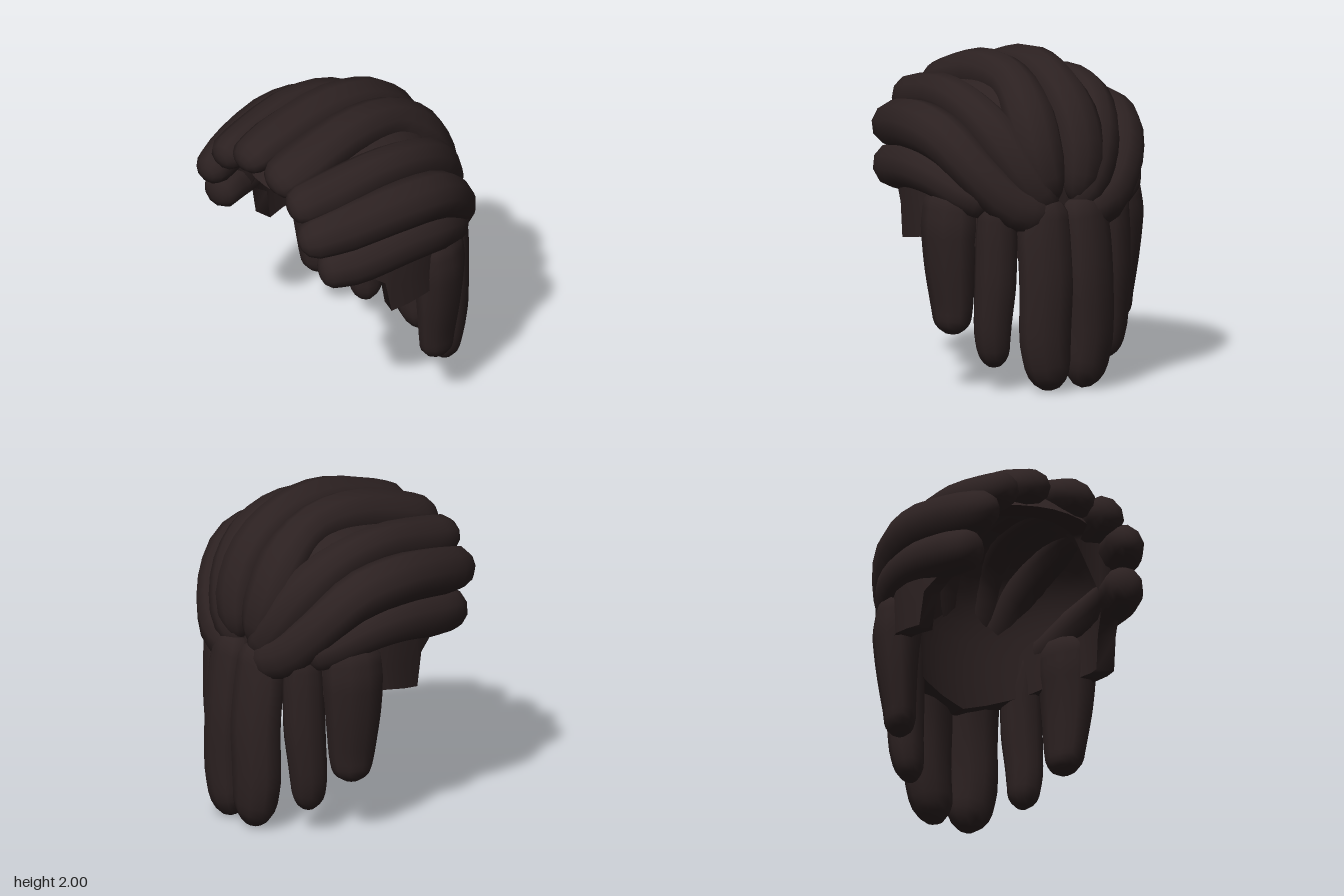
import * as THREE from 'three';
import { mergeVertices } from 'three/addons/utils/BufferGeometryUtils.js';

const hairMat = new THREE.MeshStandardMaterial({ color: 0x2c2121, side: THREE.DoubleSide });
hairMat.name = 'dark brown hair';

const SIDES = 10;

// Smooth skin over a row of closed rings of points
function loft(rings) {
  const n = rings[0].length, idx = [];
  for (let k = 1; k < rings.length; k++) {
    for (let j = 0; j < n; j++) {
      const m = (j + 1) % n, A = (k - 1) * n, B = k * n;
      idx.push(B + j, B + m, A + j, B + m, A + m, A + j);
    }
  }
  const g = new THREE.BufferGeometry().setFromPoints(rings.flat());
  g.setIndex(idx);
  const merged = mergeVertices(g, 1e-5);
  merged.computeVertexNormals();
  return merged;
}

// Thick lock: rows are [x, y, z, halfWidth, halfDepth]; the ends are rounded off over the given fractions
function lock(rows, side, startCap, endCap) {
  const curve = new THREE.CatmullRomCurve3(rows.map(r => new THREE.Vector3(r[0] * side, r[1], r[2])), false, 'centripetal');
  const ts = [0, startCap * 0.1, startCap * 0.4, startCap];
  for (let i = 1; i < 14; i++) ts.push(startCap + (1 - endCap - startCap) * i / 14);
  ts.push(1 - endCap, 1 - endCap * 0.65, 1 - endCap * 0.35, 1 - endCap * 0.1, 1);
  const round = d => Math.sqrt(Math.max(0, 1 - (1 - Math.min(1, d)) ** 2));
  return loft(ts.map(t => {
    const p = curve.getPoint(t), T = curve.getTangent(t);
    const out = new THREE.Vector3(p.x, Math.max(0, p.y - 1.2), p.z);
    out.addScaledVector(T, -out.dot(T)).normalize();
    const across = new THREE.Vector3().crossVectors(T, out);
    const u = t * (rows.length - 1), i = Math.min(rows.length - 2, Math.floor(u)), f = u - i;
    const s = round(t / startCap) * round((1 - t) / endCap);
    const w = s * THREE.MathUtils.lerp(rows[i][3], rows[i + 1][3], f);
    const h = s * THREE.MathUtils.lerp(rows[i][4], rows[i + 1][4], f);
    return Array.from({ length: SIDES }, (_, j) => {
      const a = j / SIDES * Math.PI * 2;
      return p.clone().addScaledVector(across, Math.cos(a) * w).addScaledVector(out, Math.sin(a) * h);
    });
  }));
}

// Scalp rim height by angle in degrees from the front: open face, sideburn, low nape
const rim = [[0, 1.61], [45, 1.6], [52, 1.25], [72, 1.08], [75, 0.87], [95, 0.91], [125, 0.91], [150, 0.83], [180, 0.73]];
const half = [0, 10, 20, 30, 38, 45, 52, 62, 72, 75, 84, 95, 110, 125, 138, 150, 165, 180];
const angles = [...half, ...half.slice(1, -1).reverse().map(a => 360 - a)];

function rimAt(deg) {
  const d = deg > 180 ? 360 - deg : deg;
  const i = Math.max(1, rim.findIndex(r => r[0] >= d));
  const [p, q] = [rim[i - 1], rim[i]];
  return THREE.MathUtils.lerp(p[1], q[1], (d - p[0]) / (q[0] - p[0]));
}

// Rings of a dome from its pole down to the rim, with its own radius for side, front and back
function domeRings(side, front, back, top) {
  const ROWS = 12, MID = 1.15;
  return Array.from({ length: ROWS + 1 }, (_, k) => angles.map(deg => {
    const y = top - (top - rimAt(deg)) * (k / ROWS) ** 2;
    const up = Math.max(0, (y - MID) / (top - MID));
    const r = Math.pow(1 - up ** 2.5, 0.4);
    const a = THREE.MathUtils.degToRad(deg), c = Math.cos(a);
    return new THREE.Vector3(Math.sin(a) * side * r, y, c * (c > 0 ? front : back) * r);
  }));
}

// Locks sweeping over the head from brow to nape
const swept = {
  crownLock: [[.15, 1.70, .72, .13, .10], [.16, 1.77, .5, .165, .13], [.145, 1.85, .1, .152, .15], [.135, 1.815, -.2, .138, .14],
    [.152, 1.65, -.43, .162, .13], [.145, 1.4, -.54, .16, .13], [.08, 1.13, -.58, .10, .09]],
  upperSideLock: [[.34, 1.64, .73, .12, .11], [.39, 1.68, .5, .14, .12], [.43, 1.73, .1, .132, .13], [.41, 1.67, -.2, .132, .13],
    [.33, 1.5, -.42, .15, .13], [.22, 1.28, -.54, .14, .12], [.07, 1.08, -.58, .10, .09]],
  middleSideLock: [[.46, 1.47, .745, .12, .11], [.555, 1.52, .48, .15, .13], [.63, 1.57, .1, .155, .13], [.61, 1.52, -.2, .15, .13],
    [.50, 1.33, -.41, .14, .13], [.32, 1.13, -.54, .14, .12], [.09, 1.05, -.605, .12, .10]],
  lowerSideLock: [[.51, 1.25, .63, .12, .11], [.59, 1.27, .42, .14, .14], [.645, 1.31, .08, .135, .13], [.62, 1.28, -.17, .13, .13],
    [.54, 1.2, -.34, .12, .12], [.42, 1.13, -.46, .11, .10]],
};

// Locks hanging below the nape
const hanging = {
  backLock: [[.13, 1.18, -.56, .15, .11], [.147, .95, -.6, .17, .115], [.148, .65, -.63, .172, .118], [.152, .3, -.625, .162, .122], [.105, 0, -.615, .13, .11]],
  backSideLock: [[.40, 1.2, -.46, .11, .10], [.40, .95, -.46, .13, .115], [.405, .65, -.455, .13, .115], [.41, .35, -.43, .115, .105], [.385, .135, -.415, .09, .08]],
  sideLock: [[.57, 1.24, -.225, .18, .13], [.59, 1.0, -.228, .195, .15], [.59, .75, -.227, .175, .125], [.575, .5, -.225, .145, .10], [.57, .325, -.22, .11, .09]],
};

export function createModel() {
  const group = new THREE.Group();
  group.name = 'hair';
  const add = (geo, name) => {
    const m = new THREE.Mesh(geo, hairMat);
    m.name = name;
    group.add(m);
  };
  // Thick scalp shell: outside, flat rim and inside
  const outer = domeRings(0.7, 0.77, 0.57, 1.86);
  const inner = domeRings(0.59, 0.66, 0.46, 1.75).reverse();
  add(loft(outer), 'scalpOutside');
  add(loft([outer.at(-1), inner[0]]), 'scalpRim');
  add(loft(inner), 'scalpInside');
  for (const [side, tag] of [[1, 'Left'], [-1, 'Right']]) {
    for (const [name, rows] of Object.entries(swept)) add(lock(rows, side, 0.06, 0.1), name + tag);
    for (const [name, rows] of Object.entries(hanging)) add(lock(rows, side, 0.1, 0.14), name + tag);
  }
  return group;
}
